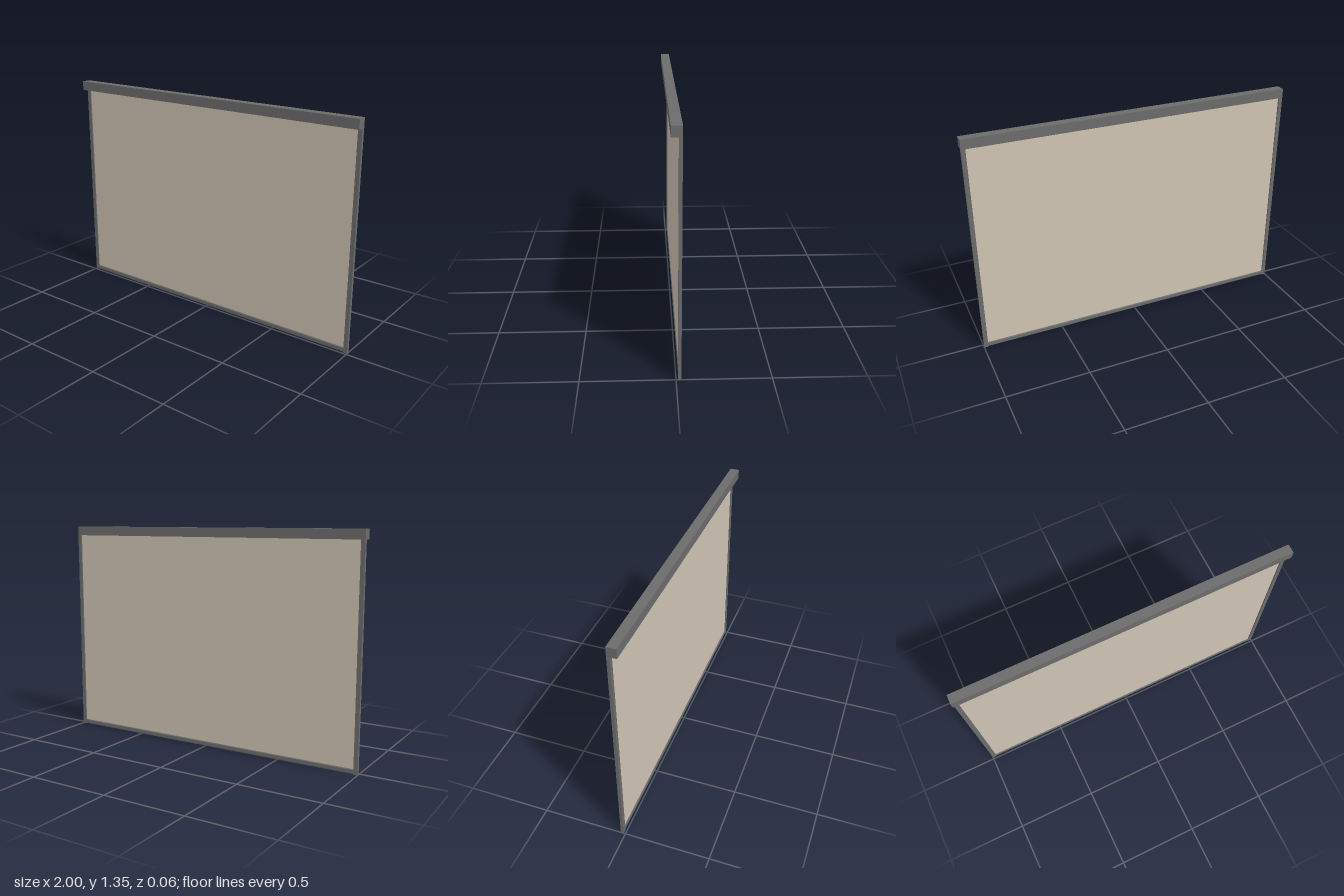
import * as THREE from 'three';

export function createModel() {
  const model = new THREE.Group();
  model.name = 'rollerScreen';
  const metal = new THREE.MeshStandardMaterial({ color: 0x6c6c6c });
  const cloth = new THREE.MeshStandardMaterial({ color: 0xd0c4b4 });

  const railZ = -0.019, railDepth = 0.018, railWidth = 0.025;
  const housingBottom = 1.295, housingTop = 1.352;

  const box = (name, w, h, d, x, y, z, material) => {
    const mesh = new THREE.Mesh(new THREE.BoxGeometry(w, h, d), material);
    mesh.name = name;
    mesh.position.set(x, y, z);
    model.add(mesh);
  };

  // Housing across the top, overhanging the rails toward the front
  const housingHeight = housingTop - housingBottom;
  box('housing', 2, housingHeight, 0.056, 0, housingBottom + housingHeight / 2, 0, metal);

  // Side guide rails
  for (const [name, side] of [['leftRail', 1], ['rightRail', -1]]) {
    box(name, railWidth, housingBottom, railDepth, side * (1 - railWidth / 2), housingBottom / 2, railZ, metal);
  }

  // Fabric sheet between the rails
  const innerWidth = 2 - 2 * railWidth;
  box('fabric', innerWidth, housingBottom - 0.02, 0.004, 0, (housingBottom + 0.02) / 2, railZ, cloth);

  // Bottom bar with rounded upper and lower edges
  const r = 0.007, barHeight = 0.03;
  const profile = new THREE.Shape();
  profile.absarc(0, barHeight - r, r, 0, Math.PI, false);
  profile.absarc(0, r, r, Math.PI, Math.PI * 2, false);
  const barGeometry = new THREE.ExtrudeGeometry(profile, { depth: innerWidth, bevelEnabled: false, curveSegments: 8 });
  barGeometry.translate(0, 0, -innerWidth / 2).rotateY(Math.PI / 2);
  const bar = new THREE.Mesh(barGeometry, metal);
  bar.name = 'bottomBar';
  bar.position.z = railZ;
  model.add(bar);

  return model;
}
